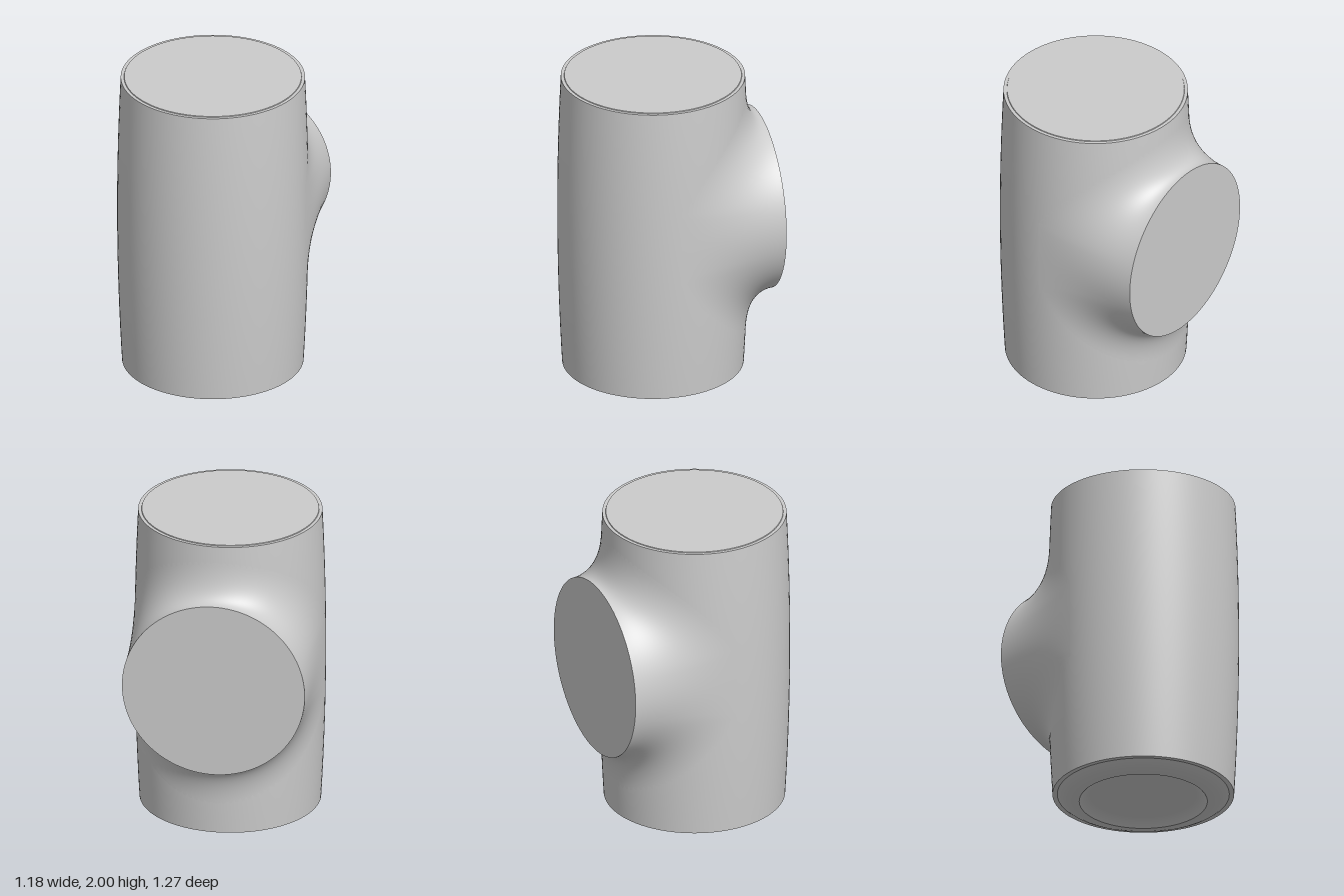
import * as THREE from 'three';
import { toCreasedNormals } from 'three/addons/utils/BufferGeometryUtils.js';

const AXIS_Z = 0.05;       // body axis
const BACK_Z = -0.635;     // face of the side branch
const BRANCH_Y = 1.07, BRANCH_R = 0.57;
const Y0 = 0.05, Y1 = 1.995;

// Slightly barrelled body radius
const bodyRadius = (y) => 0.59 - 0.022 * ((y - 1.1) / 0.9) ** 2;

// Point on the body, angle measured from the back
const onBody = (angle, y) => {
  const r = bodyRadius(y);
  return new THREE.Vector3(r * Math.sin(angle), y, AXIS_Z - r * Math.cos(angle));
};

// Branch wall: one curve per angle, leaving the face straight and landing tangent to the body
function branchGeometry(around = 120, along = 20) {
  const position = [], index = [];
  for (let i = 0; i < around; i++) {
    const t = (i / around) * Math.PI * 2;
    const c = Math.cos(t), s = Math.sin(t);
    const p = new THREE.Vector3(BRANCH_R * c, BRANCH_Y + BRANCH_R * s, BACK_Z);
    const corner = Math.asin(p.x / bodyRadius(p.y));
    const reach = 0.25;
    const foot = (d) => onBody(
      THREE.MathUtils.clamp(corner + (d * c) / 0.59, -Math.PI / 2, Math.PI / 2), p.y + d * s);
    const q = foot(reach);
    const angle = Math.atan2(q.x, AXIS_Z - q.z);
    const e = 0.01;
    const tangent = onBody(angle - (e * c) / 0.59, q.y - e * s).sub(q).normalize();
    const depth = onBody(corner, p.y).z - BACK_Z;
    const curve = new THREE.CubicBezierCurve3(
      p,
      p.clone().add(new THREE.Vector3(0, 0, depth * 0.6)),
      q.clone().addScaledVector(tangent, reach * 0.6),
      q);
    for (let j = 0; j <= along; j++) position.push(...curve.getPoint(j / along).toArray());
  }
  const row = along + 1;
  for (let i = 0; i < around; i++) {
    for (let j = 0; j < along; j++) {
      const a = i * row + j, b = ((i + 1) % around) * row + j;
      index.push(a, b, a + 1, b, b + 1, a + 1);
    }
  }
  const g = new THREE.BufferGeometry();
  g.setAttribute('position', new THREE.Float32BufferAttribute(position, 3));
  g.setIndex(index);
  g.computeVertexNormals();
  return g;
}

export function createModel() {
  const group = new THREE.Group();
  const material = new THREE.MeshStandardMaterial({ color: 0xcccccc });
  const add = (name, geometry, z = 0) => {
    const mesh = new THREE.Mesh(geometry, material);
    mesh.name = name;
    mesh.position.z = z;
    group.add(mesh);
    return mesh;
  };
  const lathe = (points) =>
    new THREE.LatheGeometry(points.map(([r, y]) => new THREE.Vector2(r, y)), 96);

  // Barrelled wall
  const wall = [];
  for (let i = 0; i <= 32; i++) {
    const y = Y0 + ((Y1 - Y0) * i) / 32;
    wall.push([bodyRadius(y), y]);
  }
  add('bodyWall', lathe(wall), AXIS_Z);

  // Top rim with the raised lid inside it
  add('topLid', toCreasedNormals(
    lathe([[bodyRadius(Y1), Y1], [0.548, Y1], [0.546, 2], [0, 2]]), 0.5), AXIS_Z);

  // Underside: recessed dish, foot ring, rounded shoulder and step
  add('base', toCreasedNormals(lathe([
    [0, 0.045], [0.33, 0.045], [0.36, 0.035], [0.385, 0.012], [0.395, 0.002],
    [0.41, 0], [0.44, 0.004], [0.475, 0.015], [0.505, 0.03], [0.53, Y0],
    [bodyRadius(Y0), Y0],
  ]), 0.6), AXIS_Z);

  // Side branch blending into the body, closed by a flat face
  add('branchWall', branchGeometry());
  const face = add('branchFace', new THREE.CircleGeometry(BRANCH_R, 120), BACK_Z);
  face.position.y = BRANCH_Y;
  face.rotation.y = Math.PI;

  return group;
}
